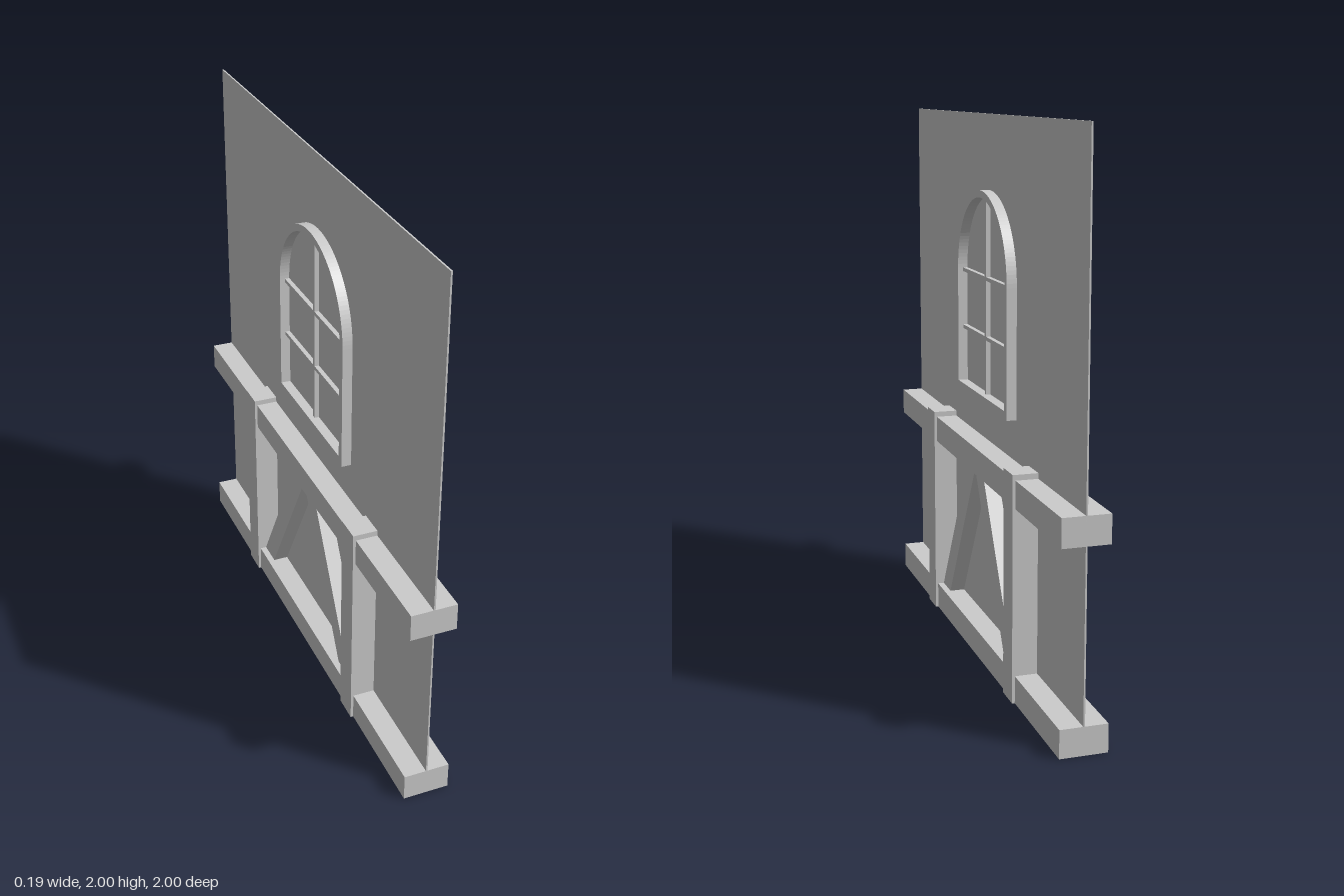
import * as THREE from 'three';

export function createModel() {
  const group = new THREE.Group();
  const material = new THREE.MeshStandardMaterial({ color: 0xcccccc });

  function add(name, geometry) {
    const mesh = new THREE.Mesh(geometry, material);
    mesh.name = name;
    group.add(mesh);
    return mesh;
  }

  // Box through the wall: thickness in x, centred on x = 0
  function beam(name, thickness, y0, y1, z0, z1) {
    const mesh = add(name, new THREE.BoxGeometry(thickness, y1 - y0, z1 - z0));
    mesh.position.set(0, (y0 + y1) / 2, (z0 + z1) / 2);
  }

  // Outline drawn as (z, y), extruded evenly to both sides of the wall
  function profile(name, shape, thickness) {
    const geometry = new THREE.ExtrudeGeometry(shape, { depth: thickness, bevelEnabled: false, curveSegments: 32 });
    geometry.translate(0, 0, -thickness / 2);
    geometry.rotateY(-Math.PI / 2);
    add(name, geometry);
  }

  // Round-topped outline
  function archOutline(path, halfWidth, bottom, spring) {
    path.moveTo(-halfWidth, bottom);
    path.lineTo(halfWidth, bottom);
    path.lineTo(halfWidth, spring);
    path.absarc(0, spring, halfWidth, 0, Math.PI, false);
    path.closePath();
    return path;
  }

  // Thin wall panel
  beam('wallPanel', 0.006, 0, 2, -1, 1);

  // Horizontal rails
  beam('bottomRail', 0.168, 0, 0.1, -1, 1);
  beam('middleRail', 0.168, 0.7, 0.8, -1, 1);

  // Posts and slanted braces, mirrored front to back
  for (const [side, s] of [['front', 1], ['back', -1]]) {
    beam(side + 'Post', 0.188, 0, 0.82, s * 0.5 - 0.05, s * 0.5 + 0.05);
    const corners = [[0.45, 0.1], [0.35, 0.1], [0, 0.7], [0.1, 0.7]];
    profile(side + 'Brace', new THREE.Shape(corners.map(([z, y]) => new THREE.Vector2(s * z, y))), 0.12);
  }

  // Arched window frame
  const frame = archOutline(new THREE.Shape(), 0.313, 0.95, 1.417);
  frame.holes.push(archOutline(new THREE.Path(), 0.287, 0.98, 1.417));
  profile('windowFrame', frame, 0.08);

  // Window bars
  beam('verticalWindowBar', 0.04, 0.98, 1.705, -0.008, 0.008);
  for (const y of [1.19, 1.41]) beam('horizontalWindowBar', 0.04, y - 0.007, y + 0.007, -0.29, 0.29);

  return group;
}
